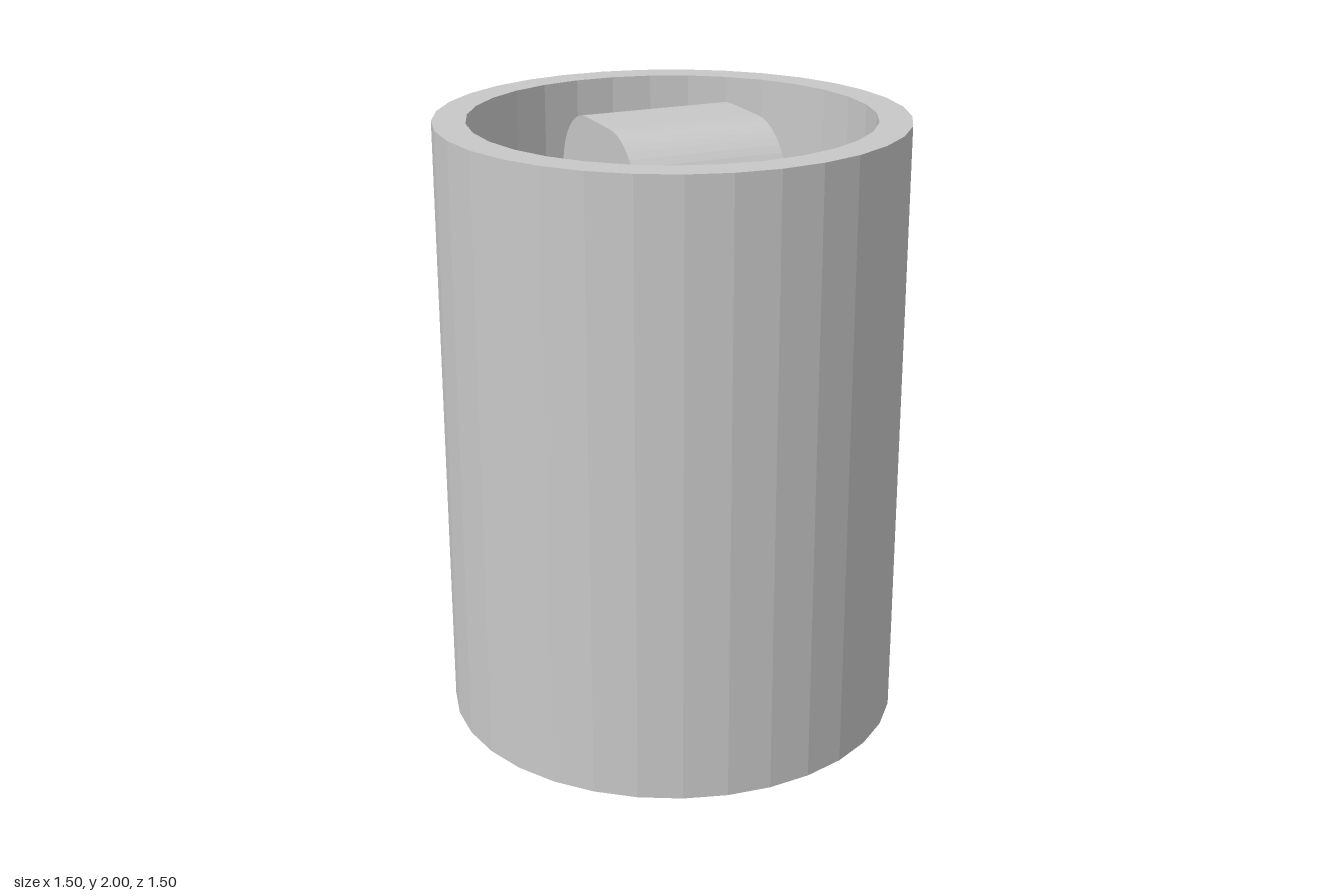
import * as THREE from 'three';

const HEIGHT = 2;

// Points of a regular polygon with one corner towards -y (the front once laid flat)
function ring(radius, sides, turn) {
  return Array.from({ length: sides }, (_, i) => {
    const a = (i / sides) * Math.PI * 2 - Math.PI / 2 + turn;
    return new THREE.Vector2(radius * Math.cos(a), radius * Math.sin(a));
  });
}

// Rounded rectangle standing on y = 0
function roundedSlab(halfWidth, height, r) {
  const s = new THREE.Shape();
  const w = halfWidth - r;
  s.absarc(w, r, r, -Math.PI / 2, 0);
  s.absarc(w, height - r, r, 0, Math.PI / 2);
  s.absarc(-w, height - r, r, Math.PI / 2, Math.PI);
  s.absarc(-w, r, r, Math.PI, Math.PI * 1.5);
  s.closePath();
  return s;
}

export function createModel() {
  const group = new THREE.Group();
  const grey = new THREE.MeshStandardMaterial({ color: 0xc8c8c8, flatShading: true });
  grey.name = 'plain grey';

  const add = (name, geometry) => {
    const mesh = new THREE.Mesh(geometry, grey);
    mesh.name = name;
    group.add(mesh);
    return mesh;
  };

  // Open outer sleeve
  const wall = new THREE.Shape(ring(0.75, 33, 0.01));
  wall.holes.push(new THREE.Path(ring(0.645, 31, 0.007).reverse()));
  const sleeve = new THREE.ExtrudeGeometry(wall, { depth: HEIGHT, bevelEnabled: false });
  sleeve.rotateX(-Math.PI / 2);
  add('outerSleeve', sleeve);

  // Tall core block with rounded ends, running the full height of the sleeve
  const core = new THREE.ExtrudeGeometry(roundedSlab(0.31, HEIGHT, 0.21), {
    depth: 0.5, bevelEnabled: false, curveSegments: 6,
  });
  core.translate(0, 0, -0.25);
  core.rotateY(Math.PI / 2);
  add('coreBlock', core);

  // Low round button on the core's left face
  const button = new THREE.CylinderGeometry(0.16, 0.16, 0.03, 24);
  button.rotateZ(-Math.PI / 2);
  add('sideButton', button).position.set(0.255, HEIGHT / 2, 0);

  return group;
}
